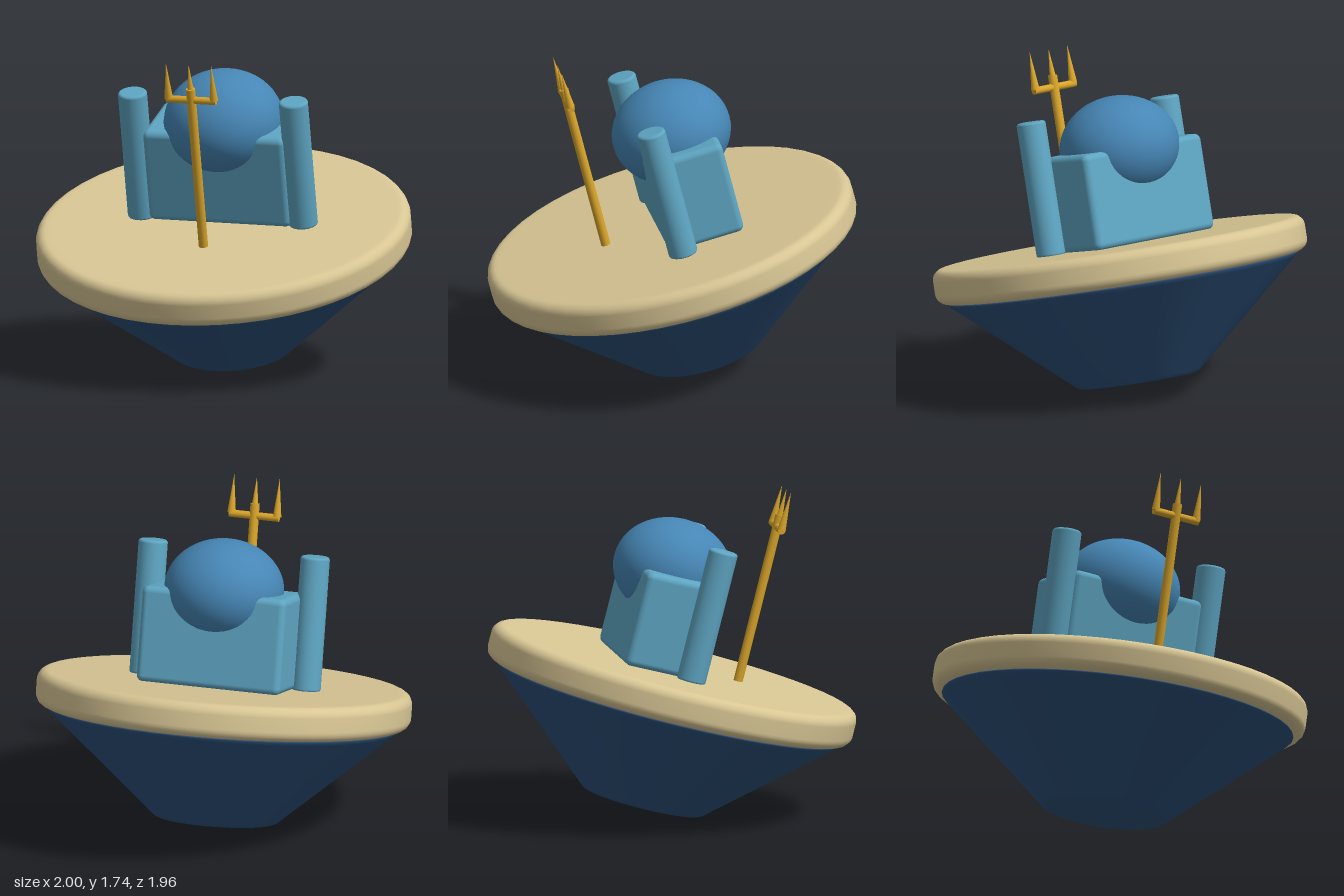
import * as THREE from 'three';
import { RoundedBoxGeometry } from 'three/addons/geometries/RoundedBoxGeometry.js';

const material = (name, color) => {
  const m = new THREE.MeshStandardMaterial({ color });
  m.name = name;
  return m;
};

// Revolve [radius, height] points listed from bottom to top.
const lathe = (points, segments) =>
  new THREE.LatheGeometry(points.map(([r, y]) => new THREE.Vector2(r, y)), segments);

// Upright cylinder between two heights with softly rounded rims.
function softCylinder(radius, y0, y1, bevel, segments) {
  const steps = 6;
  const inner = radius - bevel;
  const points = [[0, y0], [inner * 0.97, y0]];
  for (let i = 0; i <= steps; i++) {
    const a = (i / steps) * Math.PI / 2;
    points.push([inner + bevel * Math.sin(a), y0 + bevel * (1 - Math.cos(a))]);
  }
  for (let i = 0; i <= steps; i++) {
    const a = (i / steps) * Math.PI / 2;
    points.push([inner + bevel * Math.cos(a), y1 - bevel * (1 - Math.sin(a))]);
  }
  points.push([inner * 0.97, y1], [0, y1]);
  return lathe(points, segments);
}

export function createModel() {
  const sand = material('sand', 0xd8c694);
  const navy = material('navy', 0x2c5079);
  const steelBlue = material('steelBlue', 0x4686b5);
  const paleBlue = material('paleBlue', 0x5ea5c2);
  const gold = material('gold', 0xd9a52a);

  const model = new THREE.Group();
  model.name = 'tiltedTopWithFigure';

  // Everything leans forward together around the centre of the disc.
  const tilted = new THREE.Group();
  tilted.name = 'tiltedAssembly';
  tilted.position.y = 0.705;
  tilted.rotation.x = 0.25;
  model.add(tilted);

  const add = (parent, name, geometry, mat, x = 0, y = 0, z = 0) => {
    const mesh = new THREE.Mesh(geometry, mat);
    mesh.name = name;
    mesh.position.set(x, y, z);
    parent.add(mesh);
    return mesh;
  };

  // Platform and the blunt cone under it
  add(tilted, 'platform', softCylinder(1, -0.093, 0.093, 0.055, 48), sand);
  add(tilted, 'coneBase', lathe([
    [0, -0.65], [0.3, -0.65], [0.312, -0.65], [0.33, -0.643], [0.346, -0.63],
    [0.36, -0.617], [0.925, -0.119], [0.943, -0.102], [0.94, -0.094], [0.92, -0.09], [0, -0.09],
  ], 48), navy);

  // Seated figure
  const figure = new THREE.Group();
  figure.name = 'figure';
  tilted.add(figure);
  add(figure, 'body', new RoundedBoxGeometry(0.795, 0.515, 0.42, 4, 0.035), paleBlue, 0, 0.347, -0.15);
  add(figure, 'head', new THREE.SphereGeometry(0.32, 40, 28), steelBlue, 0, 0.602, -0.15).scale.y = 0.85;
  for (const [side, name] of [[1, 'leftArm'], [-1, 'rightArm']]) {
    add(figure, name, softCylinder(0.078, 0.088, 0.81, 0.015, 28), paleBlue, side * 0.449, 0, -0.005);
  }

  // Three-pronged spear standing in front
  const spear = new THREE.Group();
  spear.name = 'spear';
  spear.position.z = 0.345;
  tilted.add(spear);
  add(spear, 'shaft', new THREE.CylinderGeometry(0.025, 0.025, 0.92, 16), gold, 0, 0.55, 0);
  add(spear, 'crossbar', new THREE.CylinderGeometry(0.02, 0.02, 0.275, 14), gold, 0, 0.945, 0)
    .rotation.z = Math.PI / 2;
  for (const [x, name] of [[-0.126, 'rightProng'], [0, 'middleProng'], [0.126, 'leftProng']]) {
    add(spear, name, new THREE.ConeGeometry(0.023, 0.205, 14), gold, x, 1.053, 0);
  }

  return model;
}
